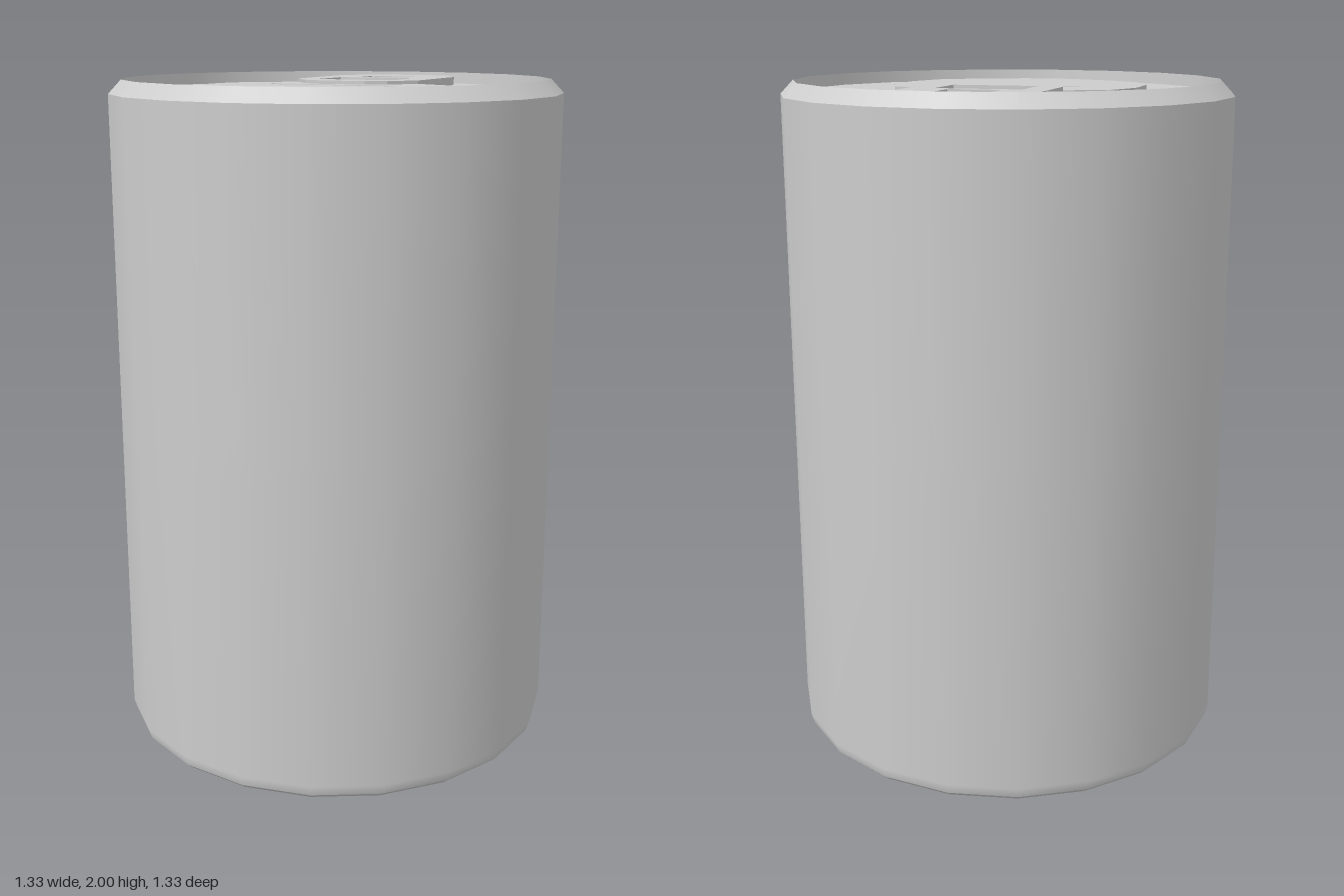
import * as THREE from 'three';

const metal = new THREE.MeshStandardMaterial({ color: 0xcccccc });
metal.name = 'can grey';

const SIDES = 20, LID_Y = 1.965, PLATE_Y = 1.98, TAB_Y = 1.99;
const v2 = (points) => points.map(([x, y]) => new THREE.Vector2(x, y));

export function createModel() {
  const can = new THREE.Group();
  can.name = 'drinkCan';

  const add = (name, geometry) => {
    const mesh = new THREE.Mesh(geometry, metal);
    mesh.name = name;
    can.add(mesh);
  };
  // Each section is its own lathe, so the rims between them stay sharp
  const turn = (name, profile) => add(name, new THREE.LatheGeometry(v2(profile), SIDES));
  // Outlines are given as x, z and raised from bottom to top
  const plate = (name, outline, holes, bottom, top) => {
    const flip = (points) => v2(points.map(([x, z]) => [x, -z]));
    const shape = new THREE.Shape(flip(outline));
    holes.forEach((h) => shape.holes.push(new THREE.Path(flip(h))));
    const g = new THREE.ExtrudeGeometry(shape, { depth: top - bottom, bevelEnabled: false });
    add(name, g.rotateX(-Math.PI / 2).translate(0, bottom, 0));
  };
  const rect = (x0, x1, z0, z1) => [[x0, z0], [x1, z0], [x1, z1], [x0, z1]];

  // Can body, from the hollow base up to the lid
  turn('baseDome', [[0, 0.09], [0.45, 0.085], [0.58, 0.05], [0.625, 0]]);
  turn('baseRim', [[0.625, 0], [0.64, 0.004], [0.655, 0.018]]);
  turn('bodyWall', [[0.655, 0.018], [0.665, 0.05], [0.665, 1.0], [0.665, 1.96]]);
  turn('topBevel', [[0.665, 1.96], [0.627, 2]]);
  turn('innerRim', [[0.627, 2], [0.625, LID_Y]]);
  turn('lid', [[0.625, LID_Y], [0, LID_Y]]);

  // Rounded back end shared by the raised panel and the tab
  const neck = [[0.195, -0.165], [0.195, -0.48], [0.14, -0.58], [0.075, -0.605],
    [-0.085, -0.605], [-0.15, -0.58], [-0.205, -0.48], [-0.205, -0.165]];
  const panel = [[-0.335, -0.095], [-0.38, 0.02], [-0.38, 0.18], [-0.325, 0.31], [-0.22, 0.39],
    [-0.075, 0.45], [0.06, 0.45], [0.21, 0.39], [0.315, 0.31], [0.36, 0.18], [0.36, 0.02], [0.315, -0.1]];
  const fingerHole = rect(-0.08, 0.072, -0.46, -0.355);
  const rivetHole = rect(-0.13, 0.12, -0.32, -0.15);
  const scoreLine = rect(-0.21, 0.192, -0.005, 0.03);
  plate('openingPanel', [...neck, ...panel], [fingerHole, rivetHole, scoreLine], LID_Y, PLATE_Y);
  plate('pullTab', [...neck, [-0.14, -0.08], [-0.075, -0.05], [0.07, -0.05], [0.13, -0.08]],
    [fingerHole, rivetHole], PLATE_Y, TAB_Y);
  // Step inside the larger opening
  plate('rivetStep', rect(-0.13, 0.12, -0.29, -0.15), [], LID_Y, LID_Y + 0.005);

  return can;
}
